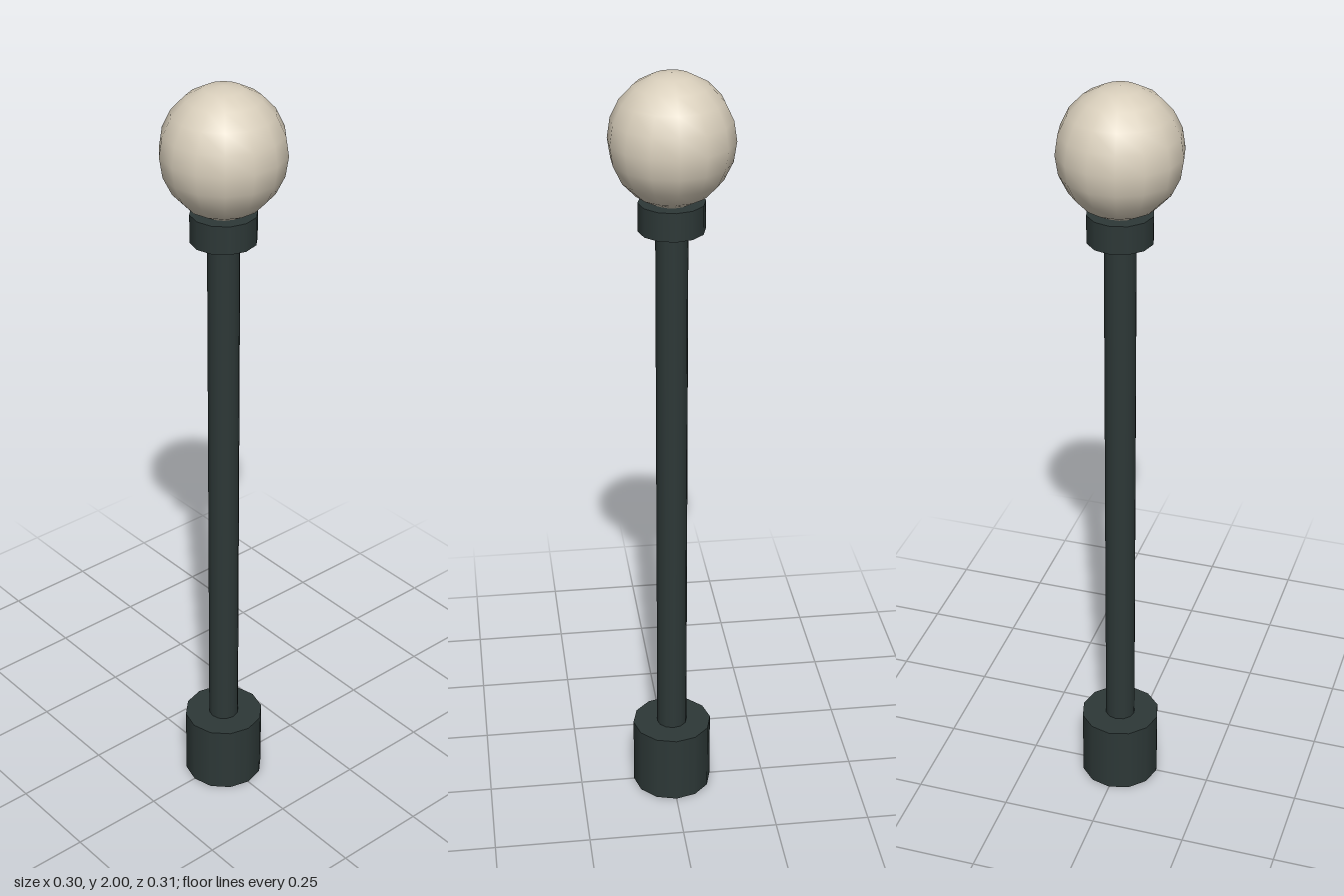
import * as THREE from 'three';

export function createModel() {
  const group = new THREE.Group();
  group.name = 'lampPost';

  const iron = new THREE.MeshStandardMaterial({ color: 0x2d3837 });
  iron.name = 'darkIron';
  const glass = new THREE.MeshStandardMaterial({ color: 0xd8cebb });
  glass.name = 'creamGlass';

  // Upright cylinder between two heights
  function post(name, radius, bottom, top) {
    const mesh = new THREE.Mesh(new THREE.CylinderGeometry(radius, radius, top - bottom, 12), iron);
    mesh.name = name;
    mesh.position.y = (bottom + top) / 2;
    group.add(mesh);
  }

  post('base', 0.105, 0, 0.19);
  post('pole', 0.04, 0.19, 1.614);
  post('collar', 0.082, 1.614, 1.686);

  // Slightly tall globe, with a corner facing front and back
  const globeGeometry = new THREE.SphereGeometry(0.153, 14, 10);
  globeGeometry.rotateY(Math.PI / 2);
  globeGeometry.scale(1, 0.161 / 0.153, 1);
  const globe = new THREE.Mesh(globeGeometry, glass);
  globe.name = 'globe';
  globe.position.y = 1.839;
  group.add(globe);

  return group;
}
